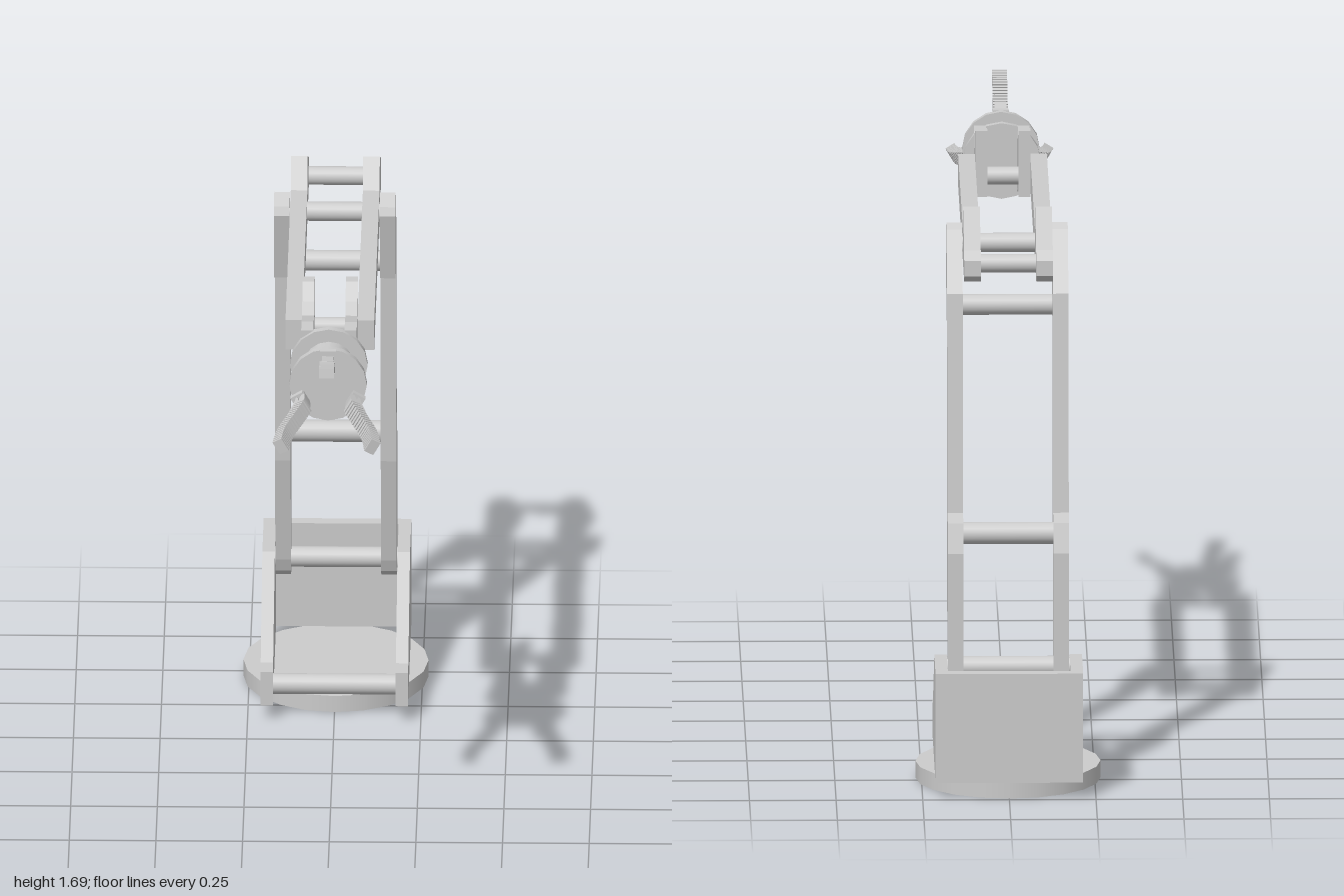
import * as THREE from 'three';

const material = new THREE.MeshStandardMaterial({ color: 0xcccccc });

function add(parent, name, geometry, x = 0, y = 0, z = 0) {
  const mesh = new THREE.Mesh(geometry, material);
  mesh.name = name;
  mesh.position.set(x, y, z);
  parent.add(mesh);
  return mesh;
}

// Plate with a (z, y) outline, extruded from x0 to x1
function plate(parent, name, outline, x0, x1) {
  const shape = new THREE.Shape(outline.map(([z, y]) => new THREE.Vector2(z, y)));
  const geometry = new THREE.ExtrudeGeometry(shape, { depth: x1 - x0, bevelEnabled: false });
  geometry.rotateY(-Math.PI / 2).translate(x1, 0, 0);
  return add(parent, name, geometry);
}

// Left and right plates, mirrored across x = 0
function platePair(parent, name, outline, inner, outer) {
  plate(parent, name + 'Left', outline, inner, outer);
  plate(parent, name + 'Right', outline, -outer, -inner);
}

// Round cross bar along x
function bar(parent, name, y, z, halfLength, radius = 0.03) {
  const geometry = new THREE.CylinderGeometry(radius, radius, halfLength * 2, 20);
  add(parent, name, geometry.rotateZ(Math.PI / 2), 0, y, z);
}

// Disc or drum along z
function drum(parent, name, radius, z0, z1, y) {
  const geometry = new THREE.CylinderGeometry(radius, radius, z1 - z0, 16);
  add(parent, name, geometry.rotateX(Math.PI / 2), 0, y, (z0 + z1) / 2);
}

// Curved ribbed finger; local +y points away from the gripper axis
function finger() {
  const group = new THREE.Group();
  const curve = new THREE.CatmullRomCurve3([
    [0.082, 0.71], [0.08, 0.78], [0.105, 0.84], [0.14, 0.915], [0.153, 0.992],
  ].map(([r, z]) => new THREE.Vector3(0, r, z)));

  const upper = [], lower = [];
  for (let i = 0; i <= 16; i++) {
    const p = curve.getPointAt(i / 16), t = curve.getTangentAt(i / 16);
    upper.push([p.z - t.y * 0.011, p.y + t.z * 0.011]);
    lower.unshift([p.z + t.y * 0.011, p.y - t.z * 0.011]);
  }
  plate(group, 'fingerSpine', [...lower, ...upper.reverse()].reverse(), -0.017, 0.017);

  const ribs = 18;
  for (let i = 0; i < ribs; i++) {
    const u = 0.26 + 0.73 * i / (ribs - 1);
    const p = curve.getPointAt(u), t = curve.getTangentAt(u);
    const rib = add(group, 'fingerRib', new THREE.BoxGeometry(0.043, 0.03, 0.008), p.x, p.y, p.z);
    rib.rotation.x = Math.atan2(-t.y, t.z);
  }
  add(group, 'knuckle', new THREE.BoxGeometry(0.046, 0.04, 0.02), 0, 0.092, 0.725);
  return group;
}

export function createModel() {
  const model = new THREE.Group();
  model.name = 'roboticArm';

  // Turntable and open housing
  const base = new THREE.Group();
  base.name = 'base';
  model.add(base);
  add(base, 'turntable', new THREE.CylinderGeometry(0.267, 0.267, 0.05, 20), 0, 0.025, -0.718);
  platePair(base, 'housingSide', [
    [-0.38, 0.05], [-0.38, 0.155], [-0.45, 0.155], [-0.755, 0.373], [-1, 0.373], [-1, 0.05],
  ], 0.177, 0.213);
  add(base, 'housingBack', new THREE.BoxGeometry(0.36, 0.323, 0.037), 0, 0.2115, -0.9815);
  bar(base, 'housingBar', 0.1, -0.425, 0.18);

  // Lower arm with its cross bars
  const lowerArm = new THREE.Group();
  lowerArm.name = 'lowerArm';
  model.add(lowerArm);
  platePair(lowerArm, 'lowerArmPlate', [
    [-0.74, 0.32], [-0.76, 0.3], [-0.81, 0.3], [-0.83, 0.32], [-0.835, 0.69],
    [-0.81, 0.775], [-0.745, 0.79], [-0.685, 1.425], [-0.55, 1.585], [-0.525, 1.6],
    [-0.475, 1.575], [-0.465, 1.55], [-0.515, 1.335], [-0.61, 1.325], [-0.657, 0.7],
    [-0.725, 0.36],
  ], 0.13, 0.175);
  bar(lowerArm, 'shoulderBar', 0.345, -0.785, 0.178);
  bar(lowerArm, 'middleBar', 0.74, -0.785, 0.14, 0.032);
  bar(lowerArm, 'upperBar', 1.367, -0.57, 0.14);
  bar(lowerArm, 'elbowBar', 1.54, -0.525, 0.14, 0.028);

  // Upper arm
  const upperArm = new THREE.Group();
  upperArm.name = 'upperArm';
  model.add(upperArm);
  platePair(upperArm, 'upperArmPlate', [
    [0.385, 1.495], [0.385, 1.588], [-0.565, 1.588], [-0.625, 1.67], [-0.815, 1.585],
    [-0.845, 1.56], [-0.845, 1.515], [-0.825, 1.495],
  ], 0.08, 0.128);
  bar(upperArm, 'rearBar', 1.54, -0.787, 0.09, 0.027);

  // Wrist fork and drum
  const axisY = 1.527;
  const wrist = new THREE.Group();
  wrist.name = 'wrist';
  model.add(wrist);
  platePair(wrist, 'wristPlate', [
    [0.28, 1.485], [0.28, 1.68], [0.317, 1.68], [0.365, 1.638], [0.385, 1.602],
    [0.495, 1.63], [0.56, 1.63], [0.56, 1.445], [0.495, 1.45], [0.395, 1.485],
  ], 0.045, 0.08);
  bar(wrist, 'wristBar', 1.54, 0.315, 0.085, 0.026);
  drum(wrist, 'rearFlange', 0.112, 0.552, 0.574, axisY);
  drum(wrist, 'wristDrum', 0.074, 0.574, 0.695, axisY);
  drum(wrist, 'frontFlange', 0.112, 0.695, 0.717, axisY);

  // Three fingers around the wrist axis
  for (let i = 0; i < 3; i++) {
    const f = finger();
    f.name = 'finger' + (i + 1);
    f.position.y = axisY;
    f.rotation.z = i * Math.PI * 2 / 3;
    model.add(f);
  }
  return model;
}
